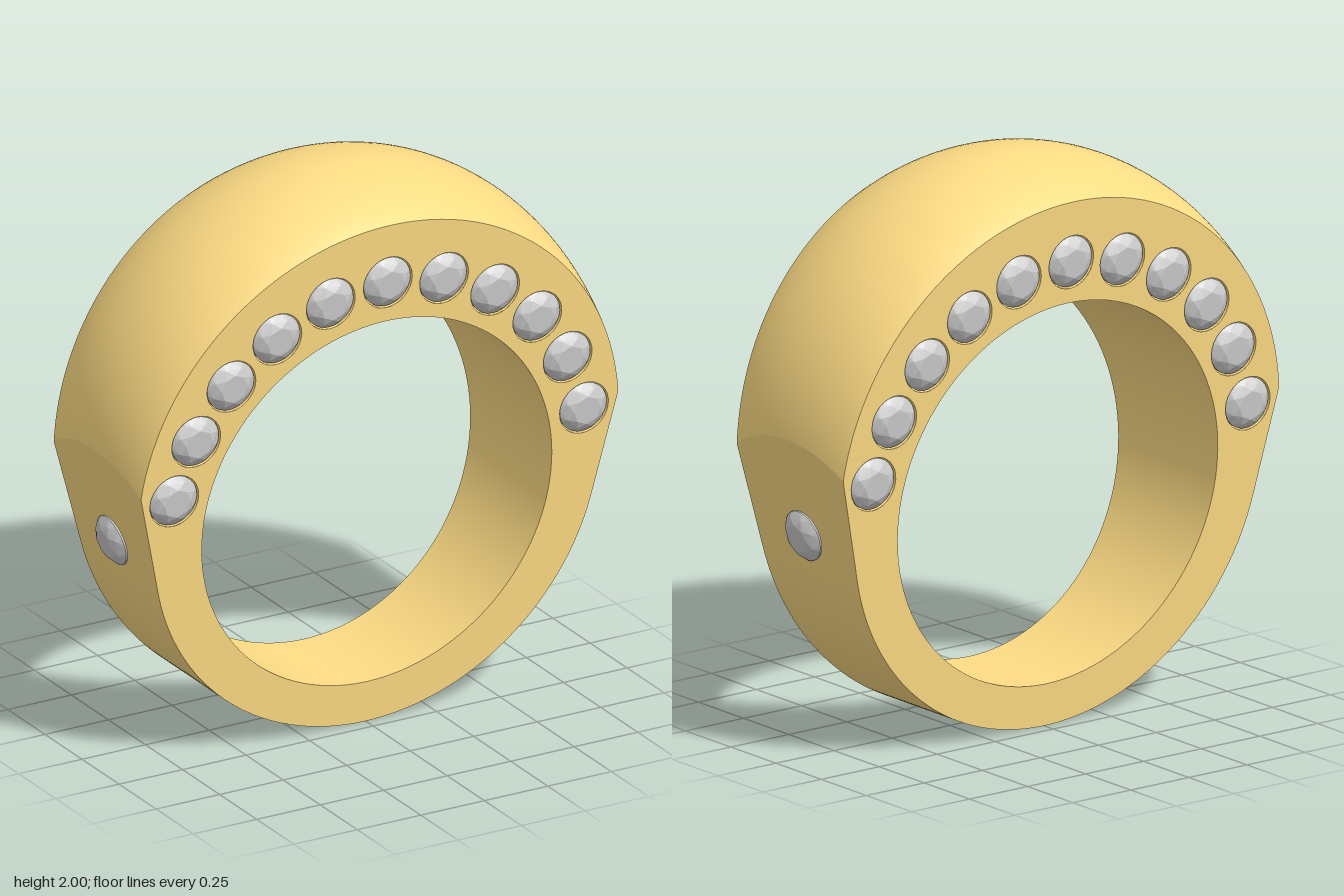
import * as THREE from 'three';
import { ParametricGeometry } from 'three/addons/geometries/ParametricGeometry.js';
import { ConvexGeometry } from 'three/addons/geometries/ConvexGeometry.js';

const HOLE_R = 0.688, HOLE_Y = 0.84; // finger hole
const LOW_R = 0.875;                 // lower band circle, resting on y = 0
const PHI = Math.atan(0.231);        // lean of the flat flanks
const TAPER = 0.0895;                // band widens towards the top
const GEM_R = 0.092;

const halfWidth = (y) => 0.2 + TAPER * y;

// Dome cross-section circle at t (-1 back edge, 1 front edge)
function domeCircle(t) {
  const top = 2 - (0.7 - Math.sqrt(0.49 - (0.37 * t) ** 2));
  const r = 0.965 - 0.02 * t * t;
  const cy = top - r;
  const k = LOW_R * (1 - Math.sin(PHI));
  const start = Math.acos((k + Math.sin(PHI) * cy) / r) - PHI; // where the flank meets it
  return { r, cy, start };
}

// Dome outline, right to left over the top
function domePoint(u, t) {
  const { r, cy, start } = domeCircle(t);
  const a = start + u * (Math.PI - 2 * start);
  return [r * Math.cos(a), cy + r * Math.sin(a)];
}

// Shank outline, left to right under the bottom: arc, then straight flank
function shankPoint(u, t) {
  const p = 2 * u - 1, s = Math.abs(p), side = Math.sign(p);
  const a = -Math.PI / 2 + Math.min(s / 0.8, 1) * (Math.PI / 2 - PHI);
  let x = LOW_R * Math.cos(a), y = LOW_R + LOW_R * Math.sin(a);
  if (s > 0.8) {
    const [ex, ey] = domePoint(0, t), f = (s - 0.8) / 0.2;
    x += (ex - x) * f;
    y += (ey - y) * f;
  }
  return [side * x, y];
}

// Finger hole outline, clockwise so that it faces inward
function holePoint(u) {
  const a = -u * Math.PI * 2;
  return [HOLE_R * Math.cos(a), HOLE_Y + HOLE_R * Math.sin(a)];
}

// Sweep an outline across the tapering width of the band
function band(name, outline, slices, stacks, material) {
  const geometry = new ParametricGeometry((u, v, target) => {
    const t = Math.min(1, Math.max(-1, 2 * v - 1));
    const [x, y] = outline(u, t);
    target.set(x, y, t * halfWidth(y));
  }, slices, stacks);
  const mesh = new THREE.Mesh(geometry, material);
  mesh.name = name;
  return mesh;
}

// Round brilliant cut: table, crown, girdle and pointed base, along +y
function gemGeometry() {
  const points = [new THREE.Vector3(0, -0.07, 0)];
  const ring = (n, r, y, offset = 0) => {
    for (let i = 0; i < n; i++) {
      const a = ((i + offset) / n) * Math.PI * 2;
      points.push(new THREE.Vector3(r * Math.cos(a), y, r * Math.sin(a)));
    }
  };
  ring(8, 0.052, 0.03);
  ring(8, 0.075, 0.018, 0.5);
  ring(32, GEM_R, 0);
  ring(32, GEM_R, -0.01);
  return new ConvexGeometry(points);
}

export function createModel() {
  const model = new THREE.Group();
  model.name = 'ring';
  const gold = new THREE.MeshStandardMaterial({ color: 0xffdd85 });
  const goldThin = new THREE.MeshStandardMaterial({ color: 0xffdd85, side: THREE.DoubleSide });
  const stone = new THREE.MeshStandardMaterial({ color: 0xcccccc, flatShading: true });

  // Band surfaces
  model.add(
    band('dome', domePoint, 96, 24, gold),
    band('shank', shankPoint, 120, 24, gold),
    band('fingerHole', holePoint, 128, 2, gold),
  );

  // Stone centres along the upper arc of each face
  const centres = [];
  for (let k = -5; k <= 5; k++) {
    const a = THREE.MathUtils.degToRad(90 - k * 15.5);
    const r = 0.836 - 0.002 * Math.abs(k);
    centres.push([r * Math.cos(a), HOLE_Y + r * Math.sin(a)]);
  }

  // Flat face with finger hole and stone pockets
  const outline = [];
  for (let i = 0; i < 120; i++) outline.push(new THREE.Vector2(...shankPoint(i / 120, 1)));
  for (let i = 0; i < 96; i++) outline.push(new THREE.Vector2(...domePoint(i / 96, 1)));
  const shape = new THREE.Shape(outline);
  const addHole = (x, y, r, n) => {
    const pts = [];
    for (let i = 0; i < n; i++) {
      const a = (-i / n) * Math.PI * 2;
      pts.push(new THREE.Vector2(x + r * Math.cos(a), y + r * Math.sin(a)));
    }
    shape.holes.push(new THREE.Path(pts));
  };
  addHole(0, HOLE_Y, HOLE_R, 128);
  for (const [x, y] of centres) addHole(x, y, GEM_R + 0.004, 32);
  const faceGeometry = new THREE.ShapeGeometry(shape);
  const pos = faceGeometry.attributes.position;
  for (let i = 0; i < pos.count; i++) pos.setZ(i, halfWidth(pos.getY(i)));
  faceGeometry.computeVertexNormals();

  const frontSide = new THREE.Group();
  frontSide.name = 'frontSide';
  const face = new THREE.Mesh(faceGeometry, gold);
  face.name = 'flatFace';
  frontSide.add(face);

  // Stones and their pockets
  const gem = gemGeometry();
  const pocketGeometry = new THREE.CylinderGeometry(GEM_R + 0.004, GEM_R + 0.004, 0.08, 32, 1, true);
  pocketGeometry.translate(0, -0.04, 0);
  const up = new THREE.Vector3(0, 1, 0);
  const place = (parent, name, geometry, material, point, normal, lift) => {
    const mesh = new THREE.Mesh(geometry, material);
    mesh.name = name;
    mesh.quaternion.setFromUnitVectors(up, normal);
    mesh.position.copy(point).addScaledVector(normal, lift);
    parent.add(mesh);
  };
  const faceNormal = new THREE.Vector3(0, -TAPER, 1).normalize();
  for (const [x, y] of centres) {
    const point = new THREE.Vector3(x, y, halfWidth(y));
    place(frontSide, 'pocket', pocketGeometry, goldThin, point, faceNormal, 0);
    place(frontSide, 'faceStone', gem, stone, point, faceNormal, -0.006);
  }
  const backSide = frontSide.clone();
  backSide.name = 'backSide';
  backSide.rotation.y = Math.PI;
  model.add(frontSide, backSide);

  // One stone on each flank
  for (const side of [1, -1]) {
    const y = 0.785;
    const x = LOW_R * Math.cos(PHI) + (y - LOW_R * (1 - Math.sin(PHI))) * Math.tan(PHI);
    const normal = new THREE.Vector3(side * Math.cos(PHI), -Math.sin(PHI), 0);
    place(model, side > 0 ? 'leftFlankStone' : 'rightFlankStone', gem, stone,
      new THREE.Vector3(side * x, y, 0), normal, 0.006);
  }
  return model;
}
